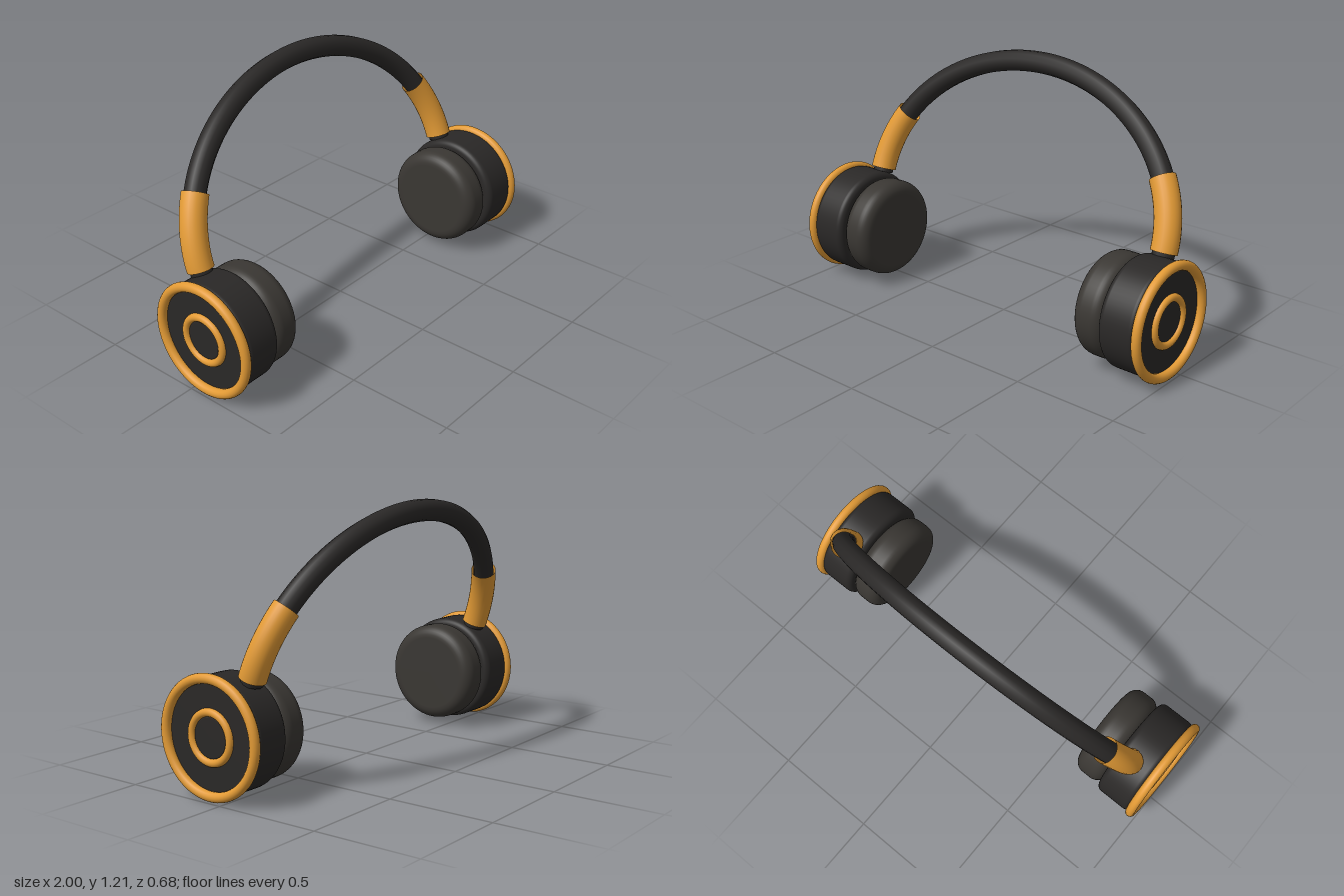
import * as THREE from 'three';

const paint = (color, extra = {}) => new THREE.MeshStandardMaterial({ color, ...extra });
const black = paint(0x2a2827);
const charcoal = paint(0x3a3733);
const orange = paint(0xe29a35);
const orangeOpen = paint(0xe29a35, { side: THREE.DoubleSide });

// Half ellipse leaning backwards, from the left end (angle 0) to the right end (PI)
class BandCurve extends THREE.Curve {
  constructor(start, end) {
    super();
    this.start = start;
    this.end = end;
  }
  getPoint(t, target = new THREE.Vector3()) {
    const a = THREE.MathUtils.lerp(this.start, this.end, t);
    const rise = 0.644 * Math.sin(a);
    return target.set(0.85 * Math.cos(a), 0.518 + rise, -0.058 - rise * 0.364);
  }
}

function add(parent, name, geometry, material) {
  const mesh = new THREE.Mesh(geometry, material);
  mesh.name = name;
  parent.add(mesh);
  return mesh;
}

// Disc with rounded rims, its axis along x from x0 to x1
function roundedDisc(radius, x0, x1, round) {
  const points = [new THREE.Vector2(0, x0), new THREE.Vector2(radius - round - 0.004, x0)];
  const corner = (cx, from) => {
    for (let i = 0; i <= 8; i++) {
      const a = from + (i / 8) * Math.PI / 2;
      points.push(new THREE.Vector2(radius - round + round * Math.cos(a), cx + round * Math.sin(a)));
    }
  };
  corner(x0 + round, -Math.PI / 2);
  corner(x1 - round, 0);
  points.push(new THREE.Vector2(radius - round - 0.004, x1), new THREE.Vector2(0, x1));
  return new THREE.LatheGeometry(points, 64).rotateZ(-Math.PI / 2);
}

const ring = (radius, tube, x) =>
  new THREE.TorusGeometry(radius, tube, 16, 72).rotateY(Math.PI / 2).translate(x, 0, 0);

// One ear cup, facing outwards along +x
function createEarCup(name) {
  const cup = new THREE.Group();
  cup.name = name;
  add(cup, 'cupShell', roundedDisc(0.257, 0.78, 0.968, 0.03), black);
  add(cup, 'earCushion', roundedDisc(0.24, 0.628, 0.784, 0.055), charcoal);
  add(cup, 'outerRing', ring(0.25, 0.0225, 0.9775), orange);
  add(cup, 'innerRing', ring(0.107, 0.018, 0.97), orange);
  add(cup, 'centreDisc', roundedDisc(0.092, 0.95, 0.974, 0.008), black);
  return cup;
}

export function createModel() {
  const model = new THREE.Group();
  model.name = 'headphones';

  // Headband, running through both sleeves and just into the cups
  const over = 0.03;
  const bandPath = new BandCurve(-over, Math.PI + over);
  add(model, 'headband', new THREE.TubeGeometry(bandPath, 96, 0.05, 12), black);

  for (const side of [1, -1]) {
    const label = side > 0 ? 'left' : 'right';

    // Ear cup
    const cup = createEarCup(label + 'EarCup');
    cup.position.set(0, 0.274, 0.07);
    cup.rotation.y = side > 0 ? 0 : Math.PI;
    model.add(cup);

    // Sleeve around the end of the headband
    const path = side > 0 ? new BandCurve(0, 0.47) : new BandCurve(Math.PI, Math.PI - 0.47);
    add(model, label + 'Sleeve', new THREE.TubeGeometry(path, 20, 0.061, 24), orangeOpen);

    // Cap closing the lower end of the headband
    const cap = add(model, label + 'BandEnd', new THREE.CircleGeometry(0.05, 24), black);
    cap.position.copy(bandPath.getPoint(side > 0 ? 0 : 1));
    const outward = bandPath.getTangent(side > 0 ? 0 : 1).multiplyScalar(-side);
    cap.quaternion.setFromUnitVectors(new THREE.Vector3(0, 0, 1), outward);
  }
  return model;
}
